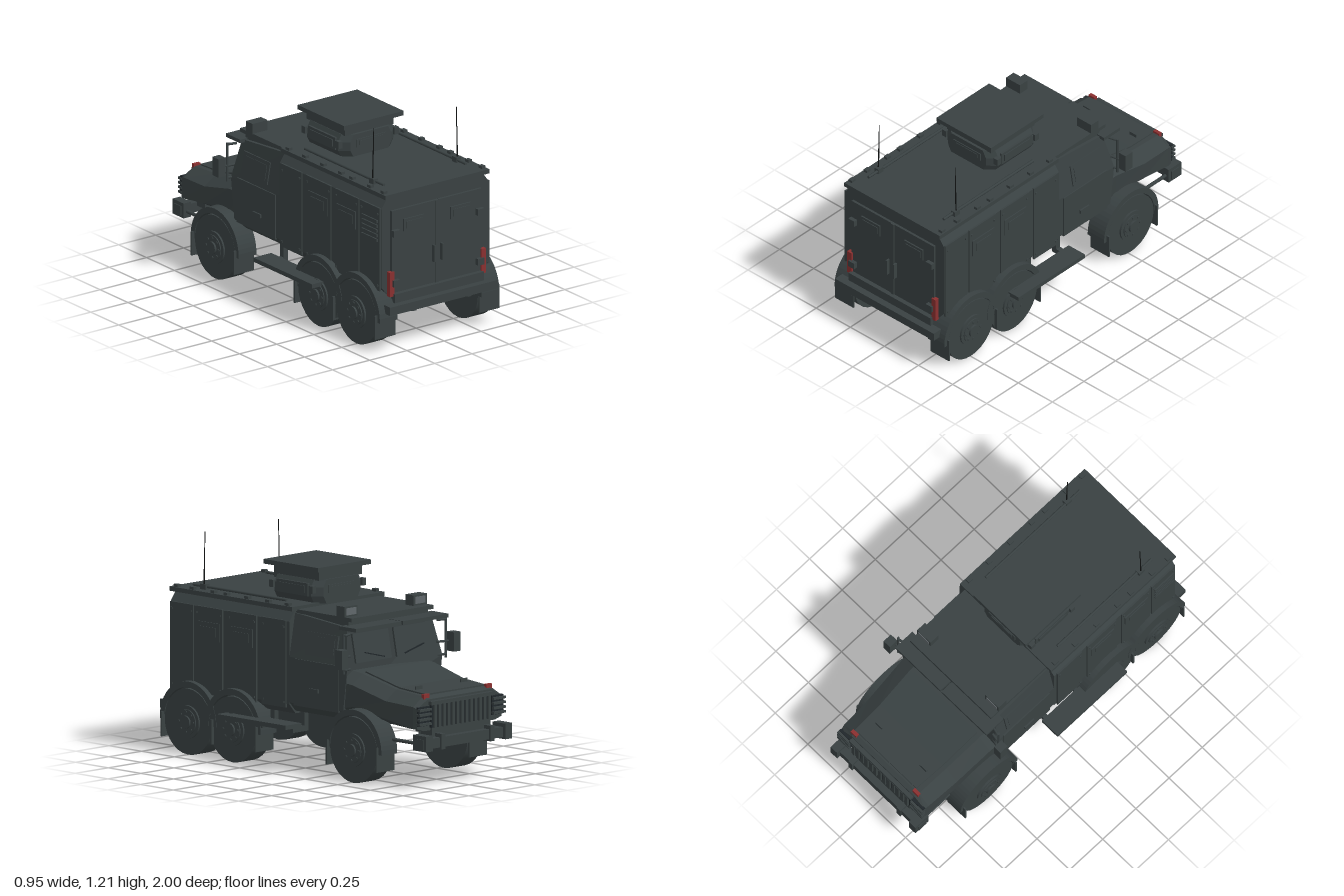
import * as THREE from 'three';

const mat = (name, color) => {
  const m = new THREE.MeshStandardMaterial({ color });
  m.name = name;
  return m;
};

export function createModel() {
  const model = new THREE.Group();
  model.name = 'armouredTruck';
  const body = mat('bodyGrey', 0x394142);
  const dark = mat('grilleDark', 0x20262a);
  const black = mat('antennaBlack', 0x121414);
  const red = mat('lampRed', 0x8a3030);
  const lens = mat('lensGrey', 0x60676a);

  const add = (name, geo, m = body, parent = model) => {
    const mesh = new THREE.Mesh(geo, m);
    mesh.name = name;
    parent.add(mesh);
    return mesh;
  };
  // Box given by its limits on each axis
  const box = (name, x0, x1, y0, y1, z0, z1, m = body) => {
    const b = add(name, new THREE.BoxGeometry(Math.abs(x1 - x0), y1 - y0, Math.abs(z1 - z0)), m);
    b.position.set((x0 + x1) / 2, (y0 + y1) / 2, (z0 + z1) / 2);
    return b;
  };
  const pair = fn => [1, -1].forEach(fn);
  const pairBox = (name, x0, x1, ...rest) => pair(s => box(name, s * x0, s * x1, ...rest));
  // Rod between two points
  const rod = (name, a, b, r, m = body, r2 = r) => {
    const p = new THREE.Vector3(...a), q = new THREE.Vector3(...b), d = q.clone().sub(p);
    const mesh = add(name, new THREE.CylinderGeometry(r2, r, d.length(), 8), m);
    mesh.position.copy(p).add(q).multiplyScalar(0.5);
    mesh.quaternion.setFromUnitVectors(new THREE.Vector3(0, 1, 0), d.normalize());
  };
  // Faceted loft: each station is a right half outline (bottom to top), mirrored; stations run towards -z
  const loft = (name, stations, m = body) => {
    const loops = stations.map(h => [...h, ...[...h].reverse().map(([x, y, z]) => [-x, y, z])]);
    const n = loops[0].length, v = [];
    const tri = (...pts) => pts.forEach(p => v.push(...p));
    for (let k = 0; k + 1 < loops.length; k++) {
      for (let i = 0; i < n; i++) {
        const j = (i + 1) % n, A = loops[k], B = loops[k + 1];
        tri(A[i], B[i], B[j]);
        tri(A[i], B[j], A[j]);
      }
    }
    const F = loops[0], L = loops[loops.length - 1];
    for (let i = 1; i + 1 < n; i++) {
      tri(F[0], F[i], F[i + 1]);
      tri(L[0], L[i + 1], L[i]);
    }
    const g = new THREE.BufferGeometry();
    g.setAttribute('position', new THREE.Float32BufferAttribute(v, 3));
    g.computeVertexNormals();
    return add(name, g, m);
  };
  const at = (z, pts) => pts.map(([x, y]) => [x, y, z]);

  // Troop compartment with chamfered edges, and roof panel
  const hull = [[0.315, 0.305], [0.362, 0.36], [0.362, 0.81], [0.32, 0.868]];
  loft('troopCompartment', [at(0.92, hull), at(0.01, hull)]);
  box('roofPanel', -0.35, 0.35, 0.866, 0.89, 0, 0.94);
  pair(s => {
    [[0.74, 0.915], [0.515, 0.725], [0.255, 0.475], [0.03, 0.215]].forEach(([z0, z1], i) => {
      box('sidePanel', s * 0.36, s * 0.37, 0.34, 0.815, z0, z1);
      for (const z of [z0 + 0.015, z1 - 0.015]) for (const y of [0.37, 0.78])
        box('panelBolt', s * 0.37, s * 0.375, y - 0.005, y + 0.005, z - 0.005, z + 0.005);
      if (i === 1 || i === 2) {
        const c = (z0 + z1) / 2;
        box('firingPortFrame', s * 0.37, s * 0.376, 0.635, 0.735, c - 0.085, c + 0.085);
        box('firingPort', s * 0.376, s * 0.38, 0.66, 0.71, c - 0.06, c + 0.06);
      }
    });
    for (const z of [0.05, 0.2, 0.36, 0.52, 0.62, 0.78, 0.9])
      box('roofClip', s * 0.318, s * 0.342, 0.89, 0.905, z - 0.015, z + 0.015);
    rod('roofRail', [s * 0.275, 0.905, 0.12], [s * 0.275, 0.905, 0.83], 0.008);
    box('antennaBase', s * 0.265, s * 0.295, 0.89, 0.92, 0.72, 0.76);
    rod('antenna', [s * 0.285, 0.9, 0.74], [s * 0.278, 1.205, 0.74], 0.004, black, 0.002);
  });
  for (let i = 0; i < 5; i++)
    box('sideVent', -0.37, -0.378, 0.62 + i * 0.027, 0.636 + i * 0.027, 0.76, 0.9);

  // Rear doors, hinges, handles, lamps and bumper
  pair(s => {
    box('rearDoor', s * 0.012, s * 0.302, 0.27, 0.79, 0.9, 0.934);
    box('doorWindowFrame', s * 0.09, s * 0.225, 0.66, 0.73, 0.934, 0.942);
    box('doorWindow', s * 0.103, s * 0.212, 0.675, 0.715, 0.942, 0.946);
    for (const y of [0.36, 0.645]) box('doorHinge', s * 0.262, s * 0.305, y, y + 0.037, 0.934, 0.957);
    box('doorHandle', s * 0.022, s * 0.032, 0.445, 0.54, 0.934, 0.957);
    box('tailLamp', s * 0.293, s * 0.324, 0.305, 0.445, 0.918, 0.945, red);
    box('towEye', s * 0.172, s * 0.198, 0.208, 0.225, 0.95, 0.98);
  });
  box('doorPost', -0.011, 0.011, 0.27, 0.79, 0.9, 0.94);
  box('rearBumper', -0.362, 0.362, 0.222, 0.27, 0.93, 1);
  box('bumperSupport', -0.3, 0.3, 0.25, 0.32, 0.85, 0.96);

  // Cab with sloping roof and windscreen
  loft('cab', [
    at(0.01, [[0.315, 0.32], [0.36, 0.37], [0.36, 0.62], [0.318, 0.855]]),
    [[0.315, 0.32, -0.38], [0.36, 0.37, -0.4], [0.36, 0.6, -0.43], [0.318, 0.82, -0.385]]]);
  box('cabRoof', -0.31, 0.31, 0.852, 0.873, -0.415, 0.01);
  box('roofFiller', -0.3, 0.3, 0.815, 0.853, -0.38, 0);
  pairBox('windscreenBrim', 0.004, 0.35, 0.81, 0.83, -0.488, -0.36);
  pair(s => {
    const pane = add('windscreenPane', new THREE.BoxGeometry(0.27, 0.16, 0.012));
    pane.position.set(s * 0.155, 0.705, -0.409);
    pane.rotation.x = 0.2;
    const wiper = add('wiper', new THREE.BoxGeometry(0.15, 0.006, 0.008), dark);
    wiper.position.set(s * 0.15, 0.66, -0.43);
    wiper.rotation.z = s * 0.25;
    box('cabDoor', s * 0.35, s * 0.366, 0.36, 0.615, -0.37, -0.025);
    // Side window leans in with the upper cab wall
    const win = new THREE.Group();
    win.name = 'sideWindow';
    win.position.set(s * 0.344, 0.708, -0.225);
    win.rotation.z = s * 0.178;
    add('windowFrame', new THREE.BoxGeometry(0.012, 0.125, 0.235), body, win);
    add('windowPane', new THREE.BoxGeometry(0.018, 0.085, 0.195), body, win);
    model.add(win);
    box('cabDoorHandle', s * 0.366, s * 0.375, 0.447, 0.468, -0.22, -0.15);
    box('roofLamp', s * 0.21, s * 0.312, 0.87, 0.93, -0.36, -0.3);
    box('roofLampLens', s * 0.222, s * 0.3, 0.882, 0.92, -0.364, -0.36, lens);
    box('mirror', s * 0.4, s * 0.448, 0.615, 0.72, -0.48, -0.425);
    rod('mirrorPost', [s * 0.385, 0.58, -0.43], [s * 0.385, 0.8, -0.43], 0.007);
    for (const y of [0.6, 0.67, 0.79]) rod('mirrorArm', [s * 0.33, y, -0.42], [s * (y === 0.67 ? 0.41 : 0.385), y, -0.435], 0.007);
  });

  // Bonnet with sloping wings
  loft('bonnet', [
    at(-0.36, [[0.27, 0.325], [0.35, 0.38], [0.358, 0.53], [0.27, 0.585]]),
    at(-0.46, [[0.27, 0.325], [0.34, 0.4], [0.35, 0.52], [0.268, 0.572]]),
    at(-0.7, [[0.27, 0.325], [0.33, 0.36], [0.335, 0.46], [0.255, 0.515]]),
    at(-0.9, [[0.27, 0.315], [0.325, 0.33], [0.325, 0.45], [0.25, 0.5]]),
    at(-0.925, [[0.27, 0.315], [0.32, 0.33], [0.32, 0.44], [0.24, 0.485]])]);
  loft('bonnetPanel', [
    at(-0.45, [[0.24, 0.56], [0.24, 0.582]]),
    at(-0.7, [[0.23, 0.5], [0.23, 0.523]]),
    at(-0.89, [[0.22, 0.49], [0.22, 0.508]])]);
  box('grillePanel', -0.225, 0.225, 0.33, 0.46, -0.94, -0.92, dark);
  for (let i = -6; i <= 6; i++)
    box('grilleBar', i * 0.034 - 0.01, i * 0.034 + 0.01, 0.33, 0.46, -0.952, -0.93);
  box('grilleTop', -0.235, 0.235, 0.455, 0.475, -0.95, -0.91);
  pair(s => {
    box('headlampBox', s * 0.235, s * 0.32, 0.345, 0.45, -0.938, -0.92, dark);
    for (let i = 0; i < 4; i++)
      box('headlampGuard', s * 0.235, s * 0.325, 0.35 + i * 0.026, 0.363 + i * 0.026, -0.952, -0.925);
    box('markerLamp', s * 0.215, s * 0.258, 0.485, 0.512, -0.915, -0.895, red);
    box('bonnetHandle', s * 0.145, s * 0.195, 0.505, 0.535, -0.79, -0.782);
    rod('bumperRod', [s * 0.3, 0.25, -0.68], [s * 0.3, 0.25, -0.92], 0.01);
    box('bumperBlock', s * 0.275, s * 0.325, 0.215, 0.3, -1, -0.9);
    box('bumperBlock', s * 0.17, s * 0.2, 0.215, 0.3, -0.99, -0.92);
  });
  box('frontBumper', -0.33, 0.33, 0.225, 0.28, -0.98, -0.92);
  box('bumperMount', -0.22, 0.22, 0.26, 0.33, -0.94, -0.85);

  // Roof turret with bulging sides and armoured lid
  const turret = [[0.165, 0.885], [0.187, 0.925], [0.187, 0.975], [0.165, 1.015]];
  const throat = turret.map(([x, y]) => [x - 0.05, y]);
  loft('turretBody', [at(0.345, throat), at(0.3, turret), at(0.02, turret), at(-0.025, throat)]);
  box('turretNeck', -0.162, 0.162, 1.012, 1.065, -0.015, 0.33);
  box('turretLid', -0.2, 0.2, 1.065, 1.09, -0.045, 0.372);
  pair(s => {
    box('turretSideFrame', s * 0.18, s * 0.193, 0.925, 0.995, 0.04, 0.28);
    box('turretSideSlot', s * 0.193, s * 0.198, 0.94, 0.98, 0.06, 0.26);
    for (const z of [0.01, 0.31]) box('turretBracket', s * 0.175, s * 0.203, 0.945, 0.985, z - 0.015, z + 0.015);
    const zc = 0.16 + s * 0.186;
    box('turretEndFrame', -0.1, 0.1, 0.94, 0.985, zc - 0.004, zc + 0.004);
    box('turretEndSlot', -0.08, 0.08, 0.95, 0.975, zc - 0.007, zc + 0.007);
  });

  // Side steps
  pair(s => {
    box('sideStep', s * 0.355, s * 0.475, 0.243, 0.267, -0.075, 0.45);
    for (const z of [-0.04, 0.19]) {
      box('stepBracket', s * 0.28, s * 0.4, 0.215, 0.245, z - 0.015, z + 0.015);
      box('stepHanger', s * 0.28, s * 0.31, 0.22, 0.33, z - 0.015, z + 0.015);
    }
  });

  // Wheels, arched guards and mud flaps
  const arch = new THREE.Shape();
  arch.absarc(0, 0, 0.215, -0.05, Math.PI + 0.05, false);
  arch.absarc(0, 0, 0.182, Math.PI + 0.05, -0.05, true);
  const archGeo = new THREE.ExtrudeGeometry(arch, { depth: 0.12, bevelEnabled: false, curveSegments: 14 })
    .translate(0, 0, -0.06).rotateY(Math.PI / 2);
  const disc = (r, h) => new THREE.CylinderGeometry(r, r, h, 28).rotateZ(Math.PI / 2);
  const tyreGeo = disc(0.18, 0.115), rimGeo = disc(0.09, 0.012), dishGeo = disc(0.07, 0.02), hubGeo = disc(0.035, 0.04);
  const nutGeo = new THREE.CylinderGeometry(0.008, 0.008, 0.03, 6).rotateZ(Math.PI / 2);
  pair(s => {
    for (const z of [0.745, 0.405, -0.52]) {
      const wheel = new THREE.Group();
      wheel.name = 'wheel';
      wheel.position.set(s * 0.342, 0.18, z);
      add('tyre', tyreGeo, body, wheel);
      [['rim', rimGeo, 0.062], ['dish', dishGeo, 0.064], ['hub', hubGeo, 0.065]].forEach(([n, g, x]) => {
        add(n, g, body, wheel).position.x = s * x;
      });
      for (let i = 0; i < 8; i++) {
        const a = i * Math.PI / 4;
        add('wheelNut', nutGeo, body, wheel).position.set(s * 0.064, 0.055 * Math.sin(a), 0.055 * Math.cos(a));
      }
      add('wheelArch', archGeo, body, wheel).position.y = 0.005;
      model.add(wheel);
      for (const d of [-0.19, 0.19])
        if (!(z === 0.405 && d > 0)) box('mudFlap', s * 0.283, s * 0.418, 0.08, 0.215, z + d - 0.005, z + d + 0.005);
    }
  });

  return model;
}
